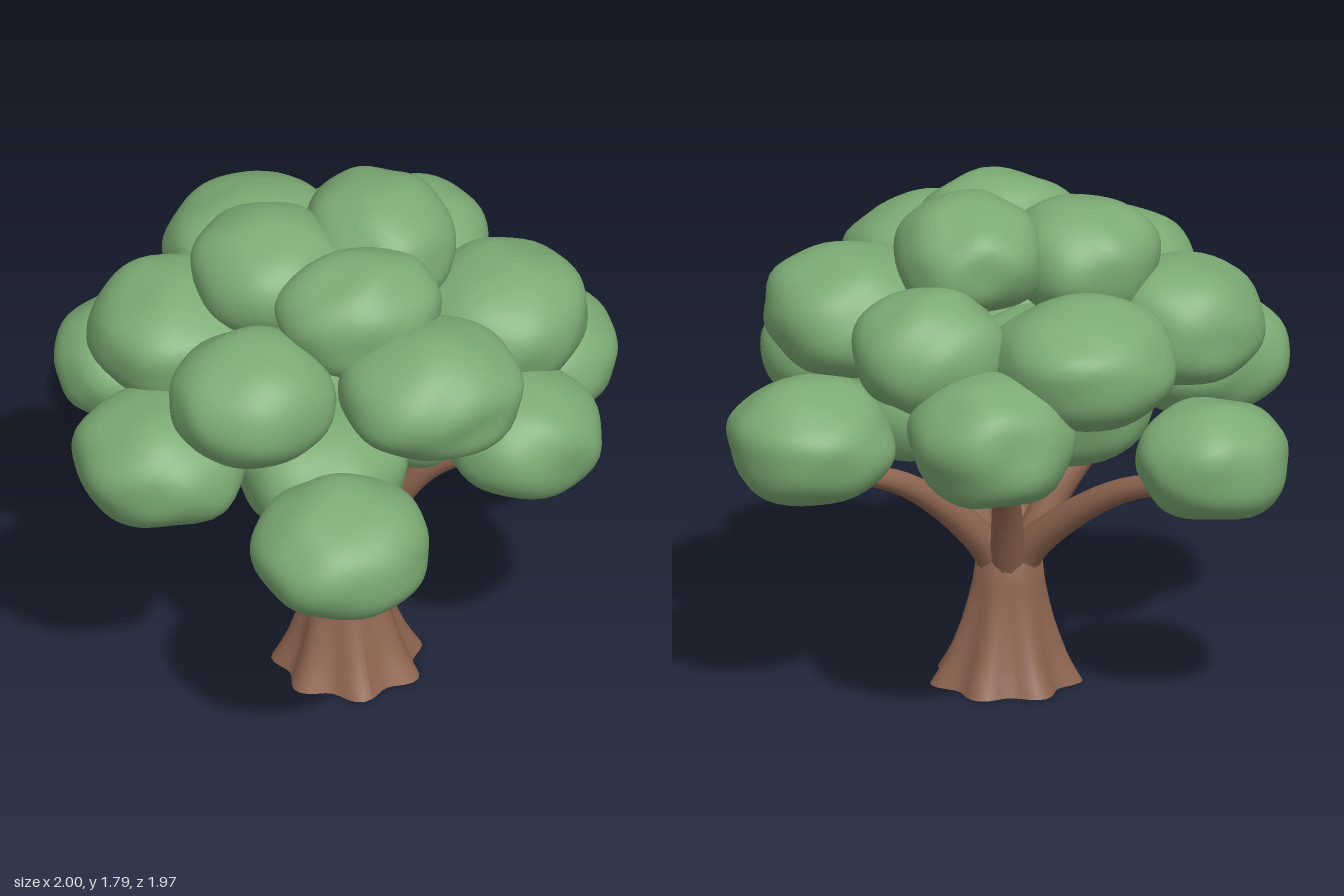
import * as THREE from 'three';
import { mergeVertices } from 'three/addons/utils/BufferGeometryUtils.js';

const leafMat = new THREE.MeshStandardMaterial({ color: 0x7cab74 });
leafMat.name = 'leaf green';
const barkMat = new THREE.MeshStandardMaterial({ color: 0x8e6450, side: THREE.DoubleSide });
barkMat.name = 'bark brown';

function addMesh(group, name, geometry, material) {
  const mesh = new THREE.Mesh(geometry, material);
  mesh.name = name;
  group.add(mesh);
}

// Small seeded random generator
function seeded(seed) {
  let s = seed * 7919 + 17;
  return () => (s = (s * 16807) % 2147483647) / 2147483647;
}

// Lumpy leaf clump, fuller on its lower half
function clumpGeometry([x, y, z, rx, ry, rz], seed) {
  const random = seeded(seed);
  const waves = [];
  for (let i = 0; i < 9; i++) {
    const dir = new THREE.Vector3(random() - 0.5, random() - 0.5, random() - 0.5).normalize();
    waves.push({ dir: dir.multiplyScalar(4 + i * 0.7), phase: random() * 6.28, size: 0.014 - i * 0.0007 });
  }
  let geo = new THREE.IcosahedronGeometry(1, 8);
  geo.deleteAttribute('normal');
  geo.deleteAttribute('uv');
  geo = mergeVertices(geo, 1e-4);
  const pos = geo.attributes.position;
  const v = new THREE.Vector3();
  for (let i = 0; i < pos.count; i++) {
    v.fromBufferAttribute(pos, i).normalize();
    const p = 2.2 - 0.2 * v.y;
    let r = Math.pow(Math.abs(v.x) ** p + Math.abs(v.y) ** p + Math.abs(v.z) ** p, -1 / p);
    for (const w of waves) r += w.size * Math.sin(w.dir.dot(v) + w.phase);
    pos.setXYZ(i, v.x * r, v.y * r, v.z * r);
  }
  // Fit the lumpy shape to the clump's size
  geo.center();
  geo.computeBoundingBox();
  const b = geo.boundingBox.max;
  geo.scale(rx / b.x, ry / b.y, rz / b.z);
  geo.translate(x, y, z);
  geo.computeVertexNormals();
  return geo;
}

// Tapered tube along a curve
function limbGeometry(curve, r0, r1) {
  const steps = 16, sides = 12;
  const geo = new THREE.TubeGeometry(curve, steps, 1, sides, false);
  const pos = geo.attributes.position;
  const c = new THREE.Vector3(), v = new THREE.Vector3();
  for (let i = 0; i <= steps; i++) {
    curve.getPointAt(i / steps, c);
    const r = THREE.MathUtils.lerp(r0, r1, i / steps);
    for (let j = 0; j <= sides; j++) {
      const k = i * (sides + 1) + j;
      v.fromBufferAttribute(pos, k).sub(c).multiplyScalar(r).add(c);
      pos.setXYZ(k, v.x, v.y, v.z);
    }
  }
  return geo;
}

// Lathe whose foot spreads into root lobes
function lobedGeometry(profile) {
  const geo = new THREE.LatheGeometry(profile.map(([r, y]) => new THREE.Vector2(r, y)), 56);
  const pos = geo.attributes.position;
  for (let i = 0; i < pos.count; i++) {
    const x = pos.getX(i), y = pos.getY(i), z = pos.getZ(i);
    const k = 1 + 0.1 * Math.max(0, 1 - y / 0.43) * Math.cos(7 * Math.atan2(z, x) + 0.6);
    pos.setXYZ(i, x * k - 0.02 * y, y, z * k - 0.05 * y);
  }
  geo.computeVertexNormals();
  return geo;
}

export function createModel() {
  const tree = new THREE.Group();
  tree.name = 'tree';

  // Flared trunk and its slightly hollow underside
  addMesh(tree, 'trunk', lobedGeometry([[0.24, 0], [0.214, 0.05], [0.192, 0.1], [0.172, 0.16],
    [0.153, 0.22], [0.136, 0.29], [0.122, 0.36], [0.112, 0.44], [0.085, 0.47], [0, 0.48]]), barkMat);
  addMesh(tree, 'trunkUnderside', lobedGeometry([[0, 0.05], [0.12, 0.03], [0.24, 0]]), barkMat);

  // Branches arch outward; each entry is the tip
  const branches = new THREE.Group();
  branches.name = 'branches';
  const tips = [
    [-0.22, 0.85, 0.58], [0.6, 0.85, -0.17], [-0.5, 0.85, -0.52],
    [0.36, 0.95, 0.28], [-0.54, 0.95, 0.1], [0.13, 0.98, -0.48],
  ];
  for (const [x, y, z] of tips) {
    const d = Math.hypot(x, z), ux = x / d, uz = z / d;
    const at = (r, h) => new THREE.Vector3(ux * r - 0.008, h, uz * r - 0.02);
    const rise = y - 0.43;
    const curve = new THREE.CatmullRomCurve3([
      at(0.035, 0.38), at(0.07, 0.47), at(0.07 + (d - 0.07) * 0.25, 0.43 + rise * 0.46),
      at(0.07 + (d - 0.07) * 0.6, 0.43 + rise * 0.8), at(d, y),
    ]);
    addMesh(branches, 'branch', limbGeometry(curve, 0.065, 0.032), barkMat);
  }
  tree.add(branches);

  // Leaf clumps: centre x, y, z and radii
  const crown = new THREE.Group();
  crown.name = 'crown';
  const clumps = [
    // top
    [0.16, 1.595, -0.165, 0.255, 0.2, 0.275], [-0.23, 1.55, -0.15, 0.265, 0.2, 0.27],
    [-0.02, 1.545, 0.17, 0.285, 0.205, 0.225],
    // middle ring
    [0.145, 1.368, 0.43, 0.305, 0.222, 0.28], [-0.435, 1.345, 0.265, 0.275, 0.217, 0.27],
    [-0.55, 1.33, -0.22, 0.29, 0.21, 0.29], [0.52, 1.345, 0.05, 0.3, 0.217, 0.305],
    [-0.14, 1.335, -0.605, 0.305, 0.217, 0.305], [0.36, 1.353, -0.435, 0.262, 0.217, 0.258],
    // lower ring
    [0.485, 1.095, 0.39, 0.272, 0.2, 0.265], [0.72, 0.985, -0.21, 0.28, 0.212, 0.288],
    [-0.26, 0.982, 0.695, 0.302, 0.212, 0.288], [-0.72, 1.075, 0.14, 0.28, 0.21, 0.29],
    [-0.58, 0.965, -0.62, 0.26, 0.2, 0.25], [0.205, 1.12, -0.71, 0.28, 0.222, 0.277],
    // inside
    [-0.18, 1.0, 0.28, 0.28, 0.21, 0.27], [0.28, 1.03, 0, 0.28, 0.21, 0.27],
    [-0.18, 1.05, -0.2, 0.28, 0.21, 0.27],
  ];
  clumps.forEach((c, i) => addMesh(crown, 'leafClump', clumpGeometry(c, i + 1), leafMat));
  tree.add(crown);

  return tree;
}
